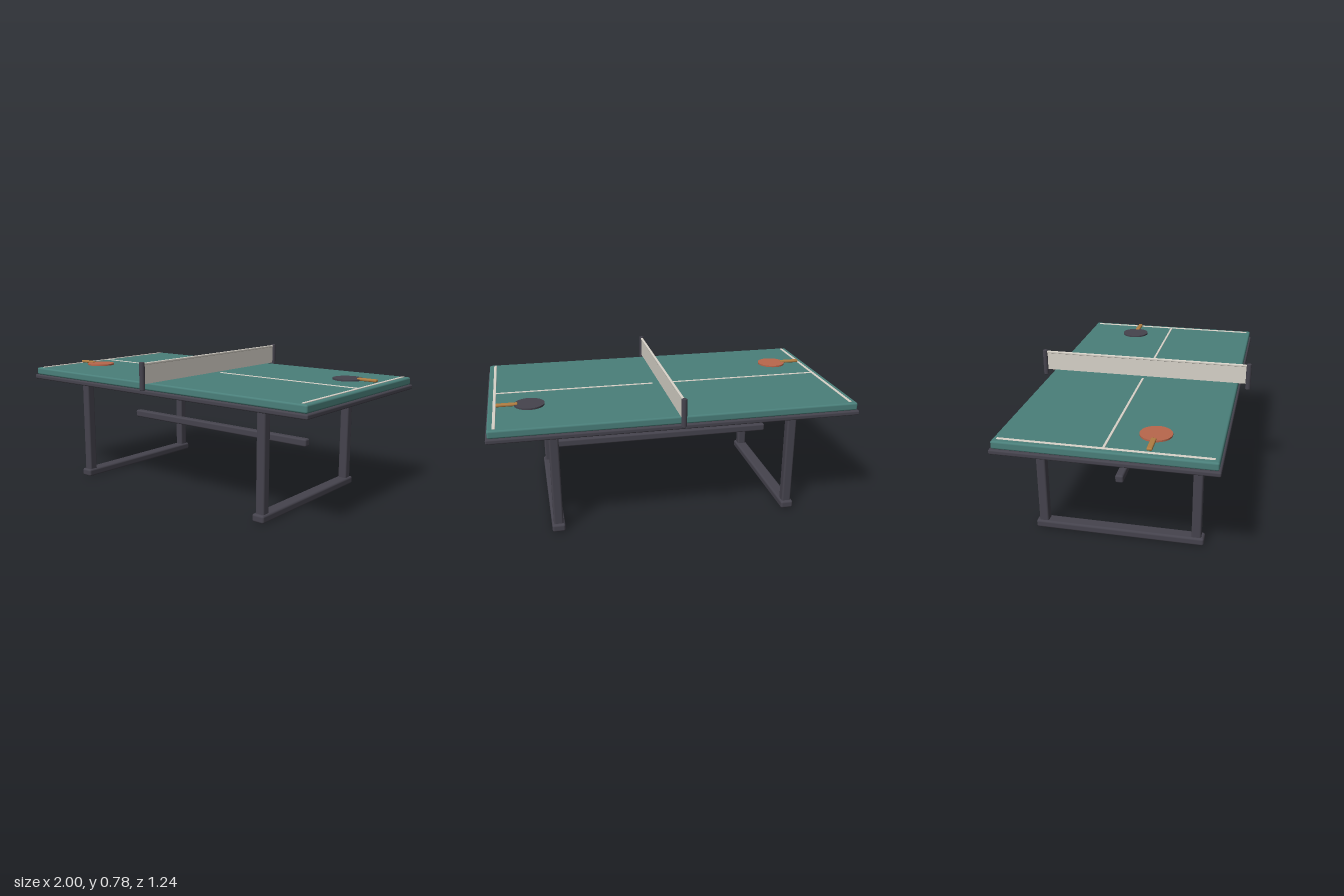
import * as THREE from 'three';
import { RoundedBoxGeometry } from 'three/addons/geometries/RoundedBoxGeometry.js';

const mat = (color) => new THREE.MeshStandardMaterial({ color });

export function createModel() {
  const model = new THREE.Group();
  model.name = 'tableTennisTable';
  const dark = mat(0x45434d), teal = mat(0x4a7f7a), cream = mat(0xd8d3c9);
  const red = mat(0xb8674c), wood = mat(0xb07d42);

  const add = (name, geometry, material, x, y, z, parent = model) => {
    const mesh = new THREE.Mesh(geometry, material);
    mesh.name = name;
    mesh.position.set(x, y, z);
    parent.add(mesh);
    return mesh;
  };
  const box = (w, h, d, r) => new RoundedBoxGeometry(w, h, d, 3, r);

  // Playing surface on its dark frame
  add('frame', box(2, 0.026, 1.12, 0.008), dark, 0, 0.608, 0);
  add('tabletop', box(1.98, 0.043, 1.1, 0.01), teal, 0, 0.642, 0);

  // Painted lines, with a gap in the centre line at the net
  for (const s of [-1, 1]) {
    add('endLine', box(0.016, 0.006, 1.056, 0.002), cream, s * 0.955, 0.664, 0);
    add('centreLine', box(0.91, 0.006, 0.013, 0.002), cream, s * 0.5, 0.664, 0);
  }

  // Leg frames joined by a stretcher
  for (const x of [-0.66, 0.66]) {
    const side = new THREE.Group();
    side.name = 'legFrame';
    side.position.x = x;
    model.add(side);
    add('foot', box(0.072, 0.044, 0.924, 0.012), dark, 0, 0.022, 0, side);
    for (const z of [-0.42, 0.42])
      add('leg', box(0.052, 0.555, 0.052, 0.01), dark, 0, 0.3075, z, side);
  }
  add('stretcher', box(1.32, 0.044, 0.044, 0.01), dark, 0, 0.332, 0);

  // Net, top tape and posts
  add('net', new THREE.BoxGeometry(0.008, 0.104, 1.2), cream, 0, 0.715, 0);
  add('netTape', box(0.014, 0.013, 1.2, 0.004), cream, 0, 0.771, 0);
  const postProfile = [[0, -0.076], [0.012, -0.076], [0.015, -0.073], [0.015, 0.073], [0.012, 0.076], [0, 0.076]]
    .map(([r, y]) => new THREE.Vector2(r, y));
  for (const z of [-0.606, 0.606])
    add('netPost', new THREE.LatheGeometry(postProfile, 24), dark, 0, 0.706, z);

  // Bats lying on the table, handles towards the ends
  const bat = (name, rubber, side, z) => {
    const group = new THREE.Group();
    group.name = name;
    group.position.set(side * 0.768, 0.672, z);
    model.add(group);
    add('blade', new THREE.CylinderGeometry(0.082, 0.082, 0.009, 40), rubber, 0, 0, 0, group);
    add('handle', box(0.116, 0.015, 0.028, 0.006), wood, side * 0.12, 0.004, 0, group);
  };
  bat('redBat', red, -1, 0.218);
  bat('blackBat', dark, 1, -0.222);

  return model;
}
